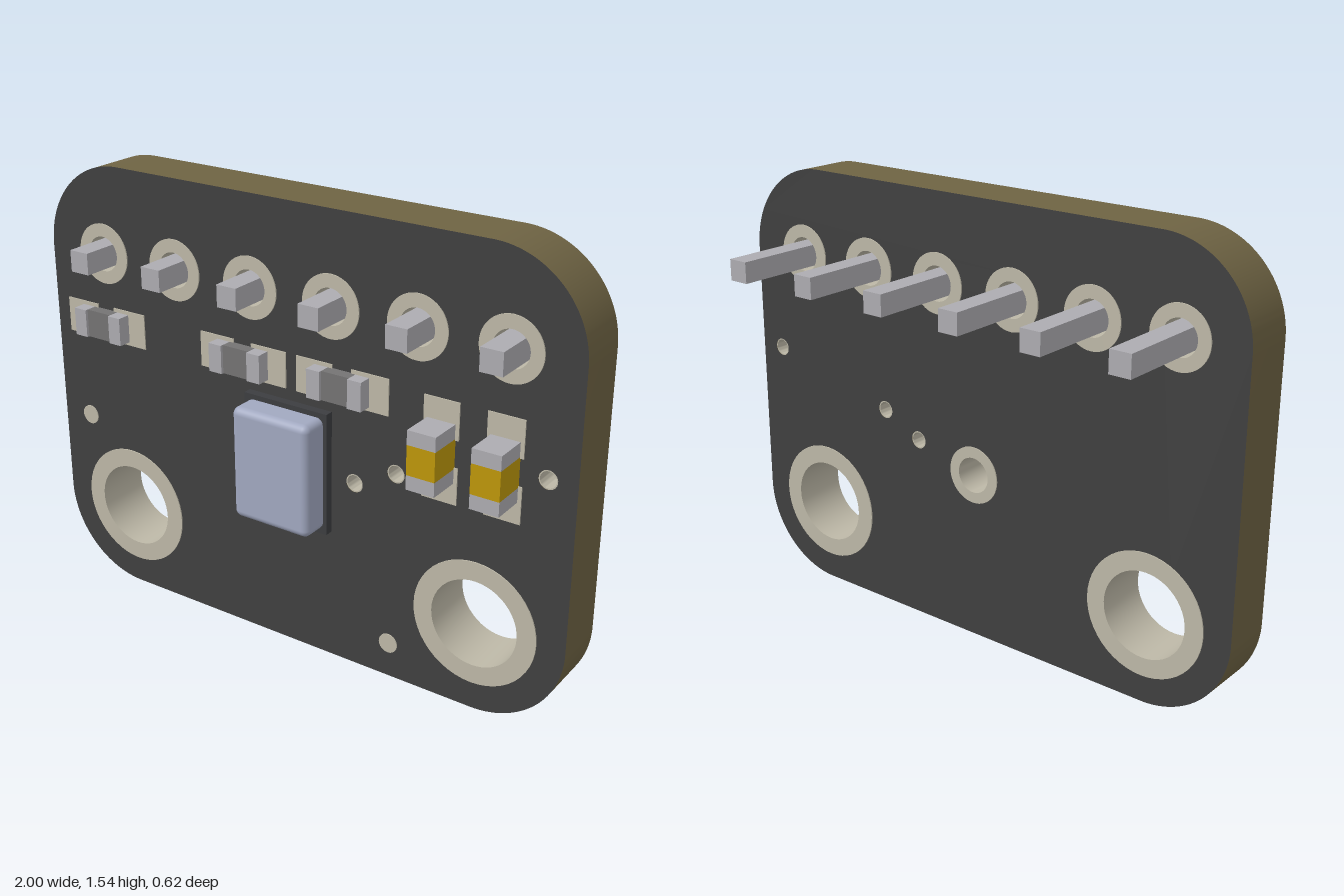
import * as THREE from 'three';
import { toCreasedNormals } from 'three/addons/utils/BufferGeometryUtils.js';
import { RoundedBoxGeometry } from 'three/addons/geometries/RoundedBoxGeometry.js';

const T = 0.19;   // board thickness
const E = 0.004;  // copper pad height

const material = (name, color, extra = {}) => {
  const m = new THREE.MeshStandardMaterial({ color, ...extra });
  m.name = name;
  return m;
};

export function createModel() {
  const mask = material('solder mask', 0x404040);
  const edge = material('board edge', 0x6e6343);
  const pad = material('tinned pad', 0xbdb8a7);
  const metal = material('pin metal', 0xadacb1);
  const dark = material('resistor body', 0x747373);
  const gold = material('capacitor body', 0xbd970a);
  const lidBlue = material('sensor lid', 0xa1a8c0);
  const base = material('sensor base', 0x3c3d40);

  const model = new THREE.Group();
  model.name = 'sensorBoard';

  const add = (parent, name, geometry, mat, x = 0, y = 0, z = 0) => {
    const mesh = new THREE.Mesh(geometry, mat);
    mesh.name = name;
    mesh.position.set(x, y, z);
    parent.add(mesh);
    return mesh;
  };
  // Box spanning z0..z1
  const box = (parent, name, mat, x, y, w, h, z0, z1) =>
    add(parent, name, new THREE.BoxGeometry(w, h, z1 - z0), mat, x, y, (z0 + z1) / 2);

  const extrude = (shape, depth) => toCreasedNormals(
    new THREE.ExtrudeGeometry(shape, { depth, bevelEnabled: false, curveSegments: 24 }), 0.6);
  const circle = (x, y, r, Type = THREE.Path) => new Type().absarc(x, y, r, 0, Math.PI * 2, false);

  // Plated holes: x, y, inner radius, outer radius, z range
  const pinXs = Array.from({ length: 6 }, (_, i) => -0.767 + i * 0.3068);
  const pinY = 1.235;
  const holes = [
    ...[-0.69, 0.69].map(x => ['mountingRing', x, 0.31, 0.15, 0.215, -E, T + E]),
    ...pinXs.map(x => ['pinRing', x, pinY, 0.06, 0.104, -E, T + E]),
    ...[[0.245, 0.665], [0.397, 0.74], [0.905, 0.865]].map(
      ([x, y]) => ['via', x, y, 0.027, 0.031, 0.001, T - 0.001]),
    ['portRing', 0, 0.6, 0.062, 0.1, -E, T - 0.001],
  ];

  // Board with rounded corners
  const R = 0.31, H = 1.54;
  const outline = new THREE.Shape();
  outline.absarc(1 - R, R, R, -Math.PI / 2, 0, false);
  outline.absarc(1 - R, H - R, R, 0, Math.PI / 2, false);
  outline.absarc(-1 + R, H - R, R, Math.PI / 2, Math.PI, false);
  outline.absarc(-1 + R, R, R, Math.PI, Math.PI * 1.5, false);
  for (const [name, x, y, ri, ro] of holes) {
    outline.holes.push(circle(x, y, name === 'via' ? ro : (ri + ro) / 2));
  }
  add(model, 'board', extrude(outline, T), [mask, edge]);

  // Rings lining each hole
  for (const [name, x, y, ri, ro, z0, z1] of holes) {
    const ring = circle(0, 0, ro, THREE.Shape);
    ring.holes.push(circle(0, 0, ri));
    add(model, name, extrude(ring, z1 - z0), pad, x, y, z0);
  }

  // Round alignment marks on the front
  for (const [x, y] of [[-0.88, 0.618], [0.382, 0.124]]) {
    const disc = add(model, 'alignmentMark', new THREE.CylinderGeometry(0.034, 0.034, E * 2, 32), pad, x, y, T);
    disc.rotation.x = Math.PI / 2;
  }

  // Header pins
  for (const x of pinXs) box(model, 'headerPin', metal, x, pinY, 0.074, 0.074, -0.31, 0.31);

  // Two-terminal part laid along x, with its pads
  const chipPart = (name, x, y, bodyMat, o) => {
    const part = new THREE.Group();
    part.name = name;
    part.position.set(x, y, 0);
    for (const s of [-1, 1]) {
      box(part, 'solderPad', pad, s * (o.padIn + o.padOut) / 2, 0, o.padOut - o.padIn, 0.122, T - E, T + E);
      box(part, 'terminal', metal, s * (o.body + o.end) / 2, 0, o.end - o.body, 0.097, T, o.top);
    }
    box(part, 'body', bodyMat, 0, 0, o.body * 2, 0.097, T, o.bodyTop);
    model.add(part);
    return part;
  };
  for (const x of [-0.773, -0.187, 0.196]) {
    chipPart('resistor', x, 0.988, dark,
      { padIn: 0.035, padOut: 0.171, body: 0.051, end: 0.101, top: 0.24, bodyTop: 0.23 });
  }
  for (const x of [0.551, 0.765]) {
    chipPart('capacitor', x, 0.864, gold,
      { padIn: 0.045, padOut: 0.168, body: 0.049, end: 0.097, top: 0.307, bodyTop: 0.307 })
      .rotation.z = Math.PI / 2;
  }

  // Sensor package: flat base and rounded lid
  const sensor = new THREE.Group();
  sensor.name = 'sensor';
  sensor.position.set(-0.002, 0.677, 0);
  box(sensor, 'sensorBase', base, 0, 0, 0.32, 0.423, T, 0.22);
  add(sensor, 'sensorLid', new RoundedBoxGeometry(0.295, 0.39, 0.11, 4, 0.025), lidBlue, 0, 0, 0.255);
  model.add(sensor);

  return model;
}
